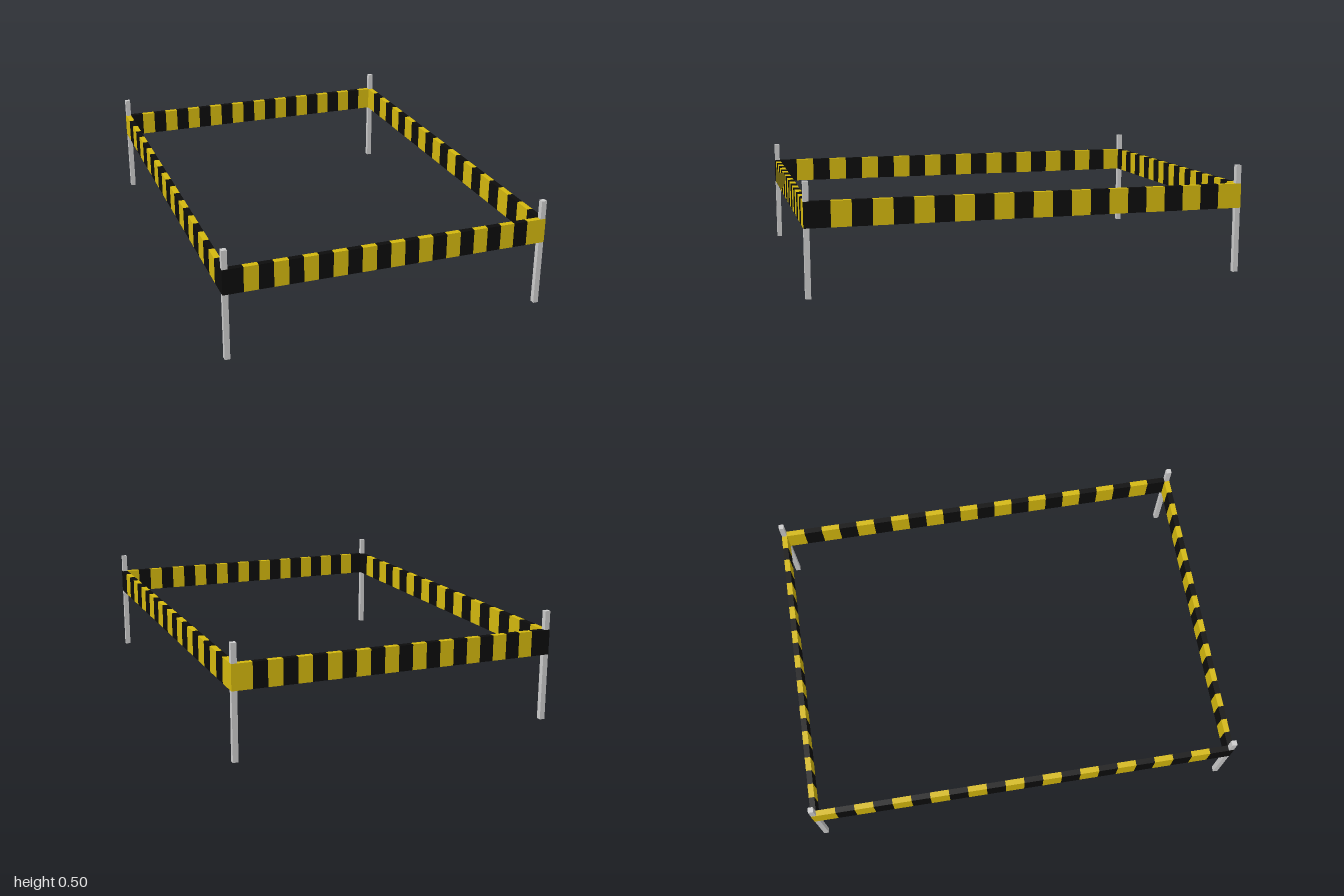
import * as THREE from 'three';

const HALF_X = 0.735, HALF_Z = 1, THICK = 0.026;
const POST_H = 0.5, BAND_LOW = 0.302, BAND_HIGH = 0.415;
const STRIPES = 22;

const grey = new THREE.MeshStandardMaterial({ color: 0xcccccc });
const yellow = new THREE.MeshStandardMaterial({ color: 0xd4b80e });
const black = new THREE.MeshStandardMaterial({ color: 0x0c0c0c });

// One stripe block; the outer face (+z) and inner face have their own x ranges,
// so end blocks can be mitred around the corner posts.
function stripeGeometry(outer, inner) {
  const geo = new THREE.BoxGeometry(2, BAND_HIGH - BAND_LOW, THICK);
  const pos = geo.attributes.position;
  for (let i = 0; i < pos.count; i++) {
    const range = pos.getZ(i) > 0 ? outer : inner;
    pos.setX(i, pos.getX(i) < 0 ? range[0] : range[1]);
  }
  geo.computeVertexNormals();
  return geo;
}

// A striped rail along x, with its outer face at z = distance
function makeRail(name, half, distance, blackFirst) {
  const rail = new THREE.Group();
  rail.name = name;
  const innerHalf = half - THICK;
  const step = (2 * innerHalf) / STRIPES;
  for (let i = 0; i < STRIPES; i++) {
    const a = -innerHalf + i * step;
    const b = a + step;
    const outer = [i === 0 ? -half : a, i === STRIPES - 1 ? half : b];
    const isBlack = (i % 2 === 0) === blackFirst;
    const stripe = new THREE.Mesh(stripeGeometry(outer, [a, b]), isBlack ? black : yellow);
    stripe.name = isBlack ? 'blackStripe' : 'yellowStripe';
    stripe.position.set(0, (BAND_LOW + BAND_HIGH) / 2, distance - THICK / 2);
    rail.add(stripe);
  }
  return rail;
}

export function createModel() {
  const model = new THREE.Group();
  model.name = 'hazardBarrier';

  // Corner posts, a hair slimmer than the rails that wrap them
  const postGeo = new THREE.BoxGeometry(THICK - 0.002, POST_H, THICK - 0.002);
  for (const sx of [-1, 1]) {
    for (const sz of [-1, 1]) {
      const post = new THREE.Mesh(postGeo, grey);
      post.name = (sz > 0 ? 'front' : 'back') + (sx > 0 ? 'Left' : 'Right') + 'Post';
      post.position.set(sx * (HALF_X - THICK / 2), POST_H / 2, sz * (HALF_Z - THICK / 2));
      model.add(post);
    }
  }

  // Four striped rails; opposite rails carry the same stripe order
  const rails = [
    ['frontRail', HALF_X, HALF_Z, true, 0],
    ['backRail', HALF_X, HALF_Z, false, Math.PI],
    ['leftRail', HALF_Z, HALF_X, true, Math.PI / 2],
    ['rightRail', HALF_Z, HALF_X, false, -Math.PI / 2],
  ];
  for (const [name, half, distance, blackFirst, turn] of rails) {
    const rail = makeRail(name, half, distance, blackFirst);
    rail.rotation.y = turn;
    model.add(rail);
  }
  return model;
}
